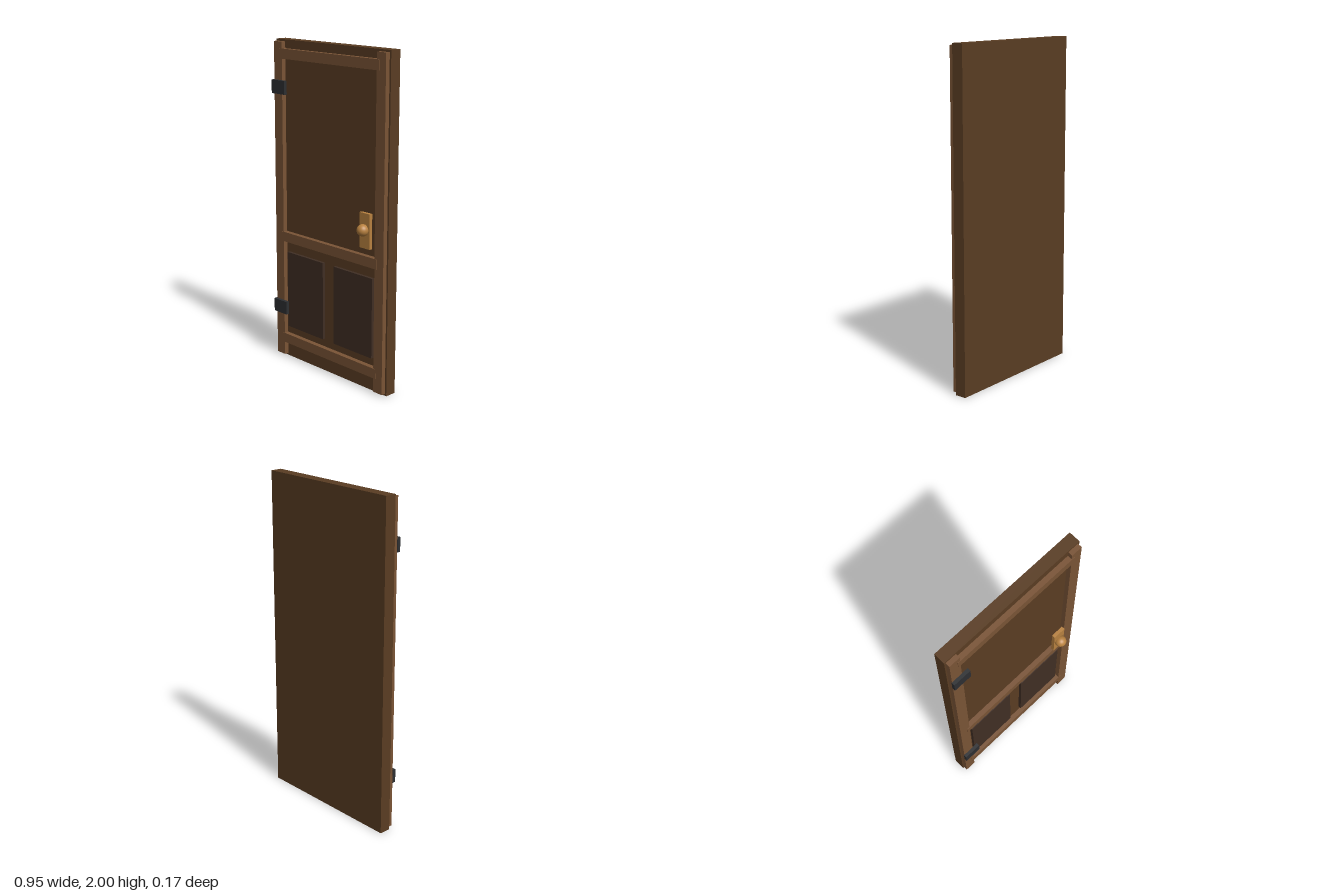
import * as THREE from 'three';

const mat = (name, color) => {
  const m = new THREE.MeshStandardMaterial({ color });
  m.name = name;
  return m;
};

export function createModel() {
  const door = new THREE.Group();
  door.name = 'door';

  const darkWood = mat('dark wood', 0x5a3d23);
  const frameWood = mat('frame wood', 0x7a5436);
  const panelWood = mat('panel wood', 0x402e24);
  const iron = mat('iron', 0x2d2f32);
  const brass = mat('brass', 0xb98240);

  // Box given by its extents along each axis
  const box = (name, material, [x0, x1], [y0, y1], [z0, z1]) => {
    const mesh = new THREE.Mesh(new THREE.BoxGeometry(x1 - x0, y1 - y0, z1 - z0), material);
    mesh.position.set((x0 + x1) / 2, (y0 + y1) / 2, (z0 + z1) / 2);
    mesh.name = name;
    door.add(mesh);
  };

  // Door leaf
  box('slab', darkWood, [-0.475, 0.475], [0, 2], [-0.085, -0.015]);

  // Upright stiles and the slightly prouder cross rails
  box('rightStile', frameWood, [-0.466, -0.396], [0.012, 1.988], [-0.015, 0.013]);
  box('leftStile', frameWood, [0.394, 0.464], [0.012, 1.988], [-0.015, 0.013]);
  for (const [name, y] of [['topRail', 1.918], ['middleRail', 0.793], ['bottomRail', 0.127]]) {
    box(name, frameWood, [-0.414, 0.414], [y - 0.03, y + 0.03], [-0.015, 0.016]);
  }

  // Lower raised panels
  for (const [name, x] of [['rightPanel', -0.21], ['leftPanel', 0.207]]) {
    box(name, panelWood, [x - 0.161, x + 0.161], [0.208, 0.695], [-0.015, 0.004]);
  }

  // Hinges
  for (const [name, y] of [['upperHinge', 1.719], ['lowerHinge', 0.335]]) {
    box(name, iron, [-0.469, -0.355], [y - 0.041, y + 0.041], [0.012, 0.033]);
  }

  // Lock plate and knob
  box('lockPlate', brass, [0.292, 0.373], [0.875, 1.082], [0.013, 0.034]);
  const knob = new THREE.Mesh(new THREE.SphereGeometry(0.035, 24, 16), brass);
  knob.position.set(0.332, 0.985, 0.048);
  knob.name = 'knob';
  door.add(knob);

  return door;
}
